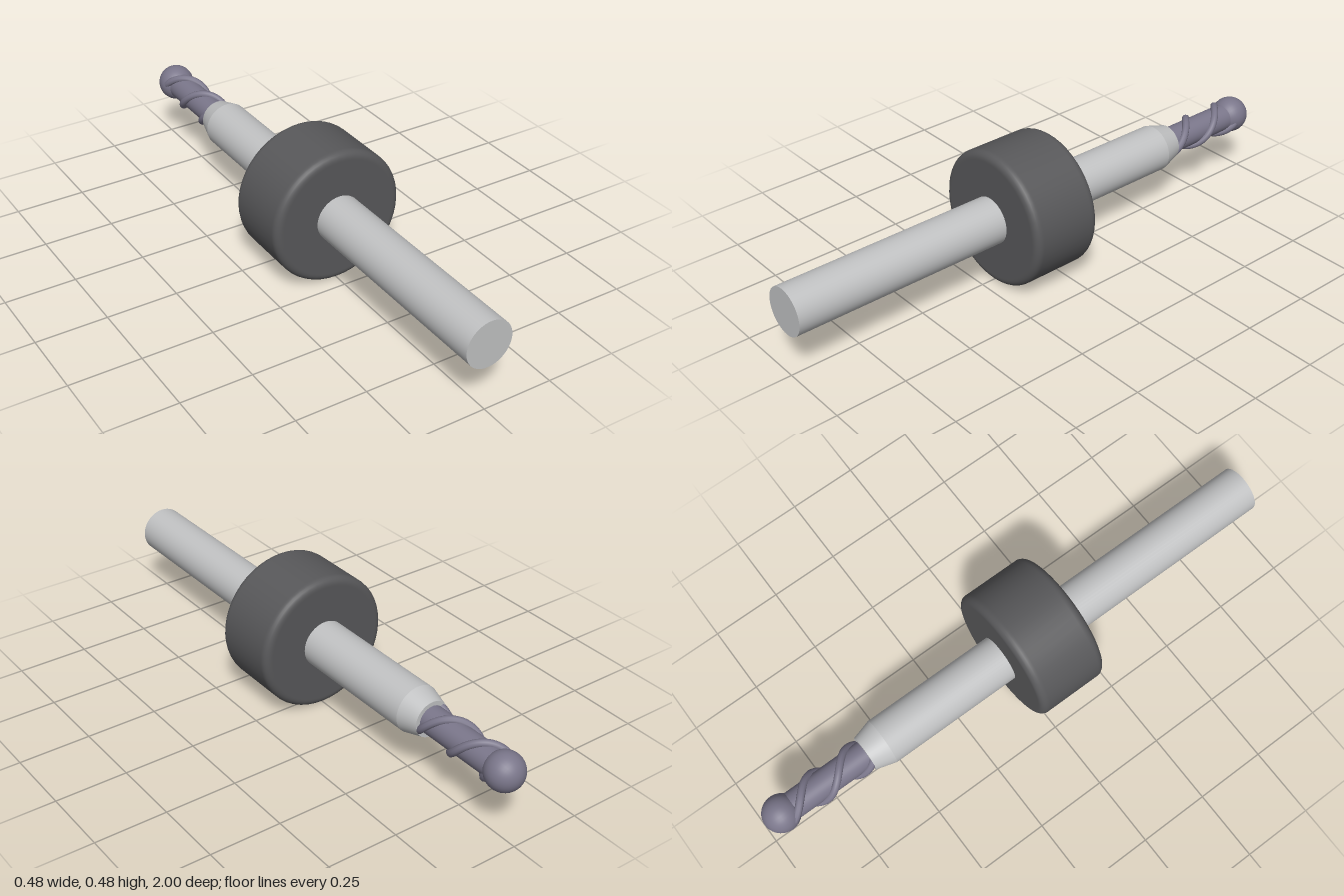
import * as THREE from 'three';

const AXIS_Y = 0.242;

export function createModel() {
  const model = new THREE.Group();
  const material = (name, color) => {
    const m = new THREE.MeshStandardMaterial({ color });
    m.name = name;
    return m;
  };
  const steel = material('steel', 0xc0c1c2);
  const rubber = material('dark collar', 0x58585a);
  const carbide = material('carbide', 0x7a768a);

  const add = (name, geometry, mat) => {
    const mesh = new THREE.Mesh(geometry, mat);
    mesh.name = name;
    mesh.position.y = AXIS_Y;
    model.add(mesh);
    return mesh;
  };
  // Cylinder along z between two stations
  const rod = (name, zBack, zFront, rBack, rFront, mat) => {
    const g = new THREE.CylinderGeometry(rFront, rBack, zFront - zBack, 48);
    g.rotateX(Math.PI / 2).translate(0, 0, (zBack + zFront) / 2);
    return add(name, g, mat);
  };

  // Shank and its tapered neck
  rod('shank', -0.535, 1, 0.083, 0.083, steel);
  rod('neck', -0.605, -0.535, 0.063, 0.083, steel);

  // Collar with rounded rims
  const R = 0.24, bevel = 0.025, z0 = -0.05, z1 = 0.21;
  const profile = [[0.07, z0], [R - bevel - 0.005, z0]];
  for (let i = 0; i <= 6; i++) {
    const a = (i / 6) * Math.PI / 2;
    profile.push([R - bevel + bevel * Math.sin(a), z0 + bevel - bevel * Math.cos(a)]);
  }
  profile.push([R, z0 + bevel + 0.005], [R, z1 - bevel - 0.005]);
  for (let i = 0; i <= 6; i++) {
    const a = (i / 6) * Math.PI / 2;
    profile.push([R - bevel + bevel * Math.cos(a), z1 - bevel + bevel * Math.sin(a)]);
  }
  profile.push([R - bevel - 0.005, z1], [0.07, z1]);
  const collar = new THREE.LatheGeometry(profile.map(([x, y]) => new THREE.Vector2(x, y)), 48);
  collar.rotateX(Math.PI / 2);
  add('collar', collar, rubber);

  // Cutter core and ball nose
  rod('cutterCore', -0.905, -0.6, 0.048, 0.048, carbide);
  const ball = new THREE.SphereGeometry(0.065, 32, 24);
  ball.rotateX(Math.PI / 2).translate(0, 0, -0.935);
  add('ballNose', ball, carbide);

  // Two helical cutting edges, half a turn apart
  for (let k = 0; k < 2; k++) {
    const points = [];
    for (let i = 0; i <= 40; i++) {
      const z = -0.915 + (i / 40) * 0.32;
      const a = Math.PI / 2 - ((z + 0.7) / 0.3) * Math.PI * 2 + k * Math.PI;
      points.push(new THREE.Vector3(0.05 * Math.cos(a), 0.05 * Math.sin(a), z));
    }
    const path = new THREE.CatmullRomCurve3(points);
    add('cuttingEdge' + (k + 1), new THREE.TubeGeometry(path, 90, 0.0135, 10), carbide);
  }
  return model;
}
